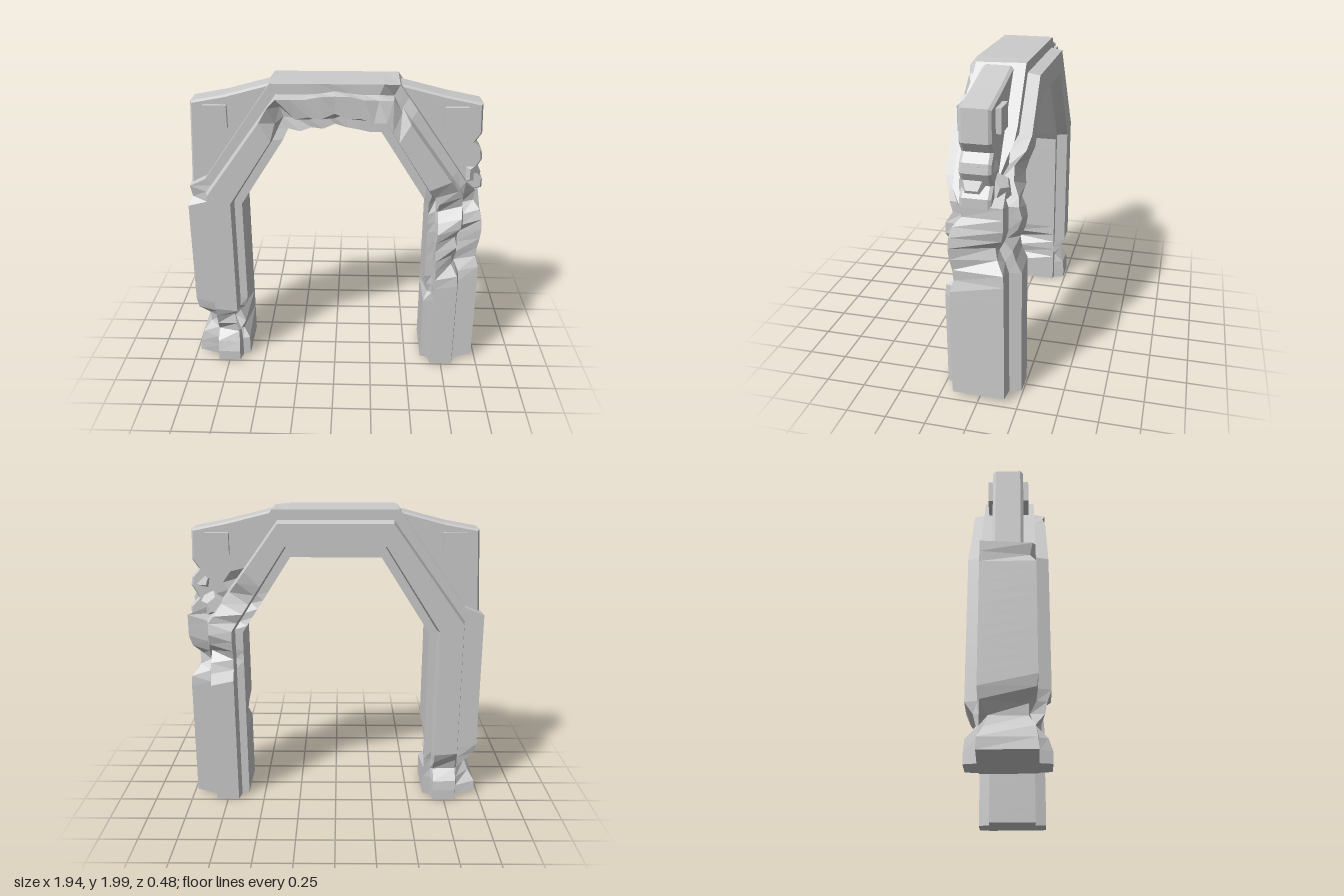
import * as THREE from 'three';

const stone = new THREE.MeshStandardMaterial({ color: 0xcccccc, flatShading: true });
const BODY = 0.165, RIB = 0.24;

// Chipped spots: centre, radius, push direction
const CHIPS = [
  // broken left foot
  [[-0.75, 0.26, 0.24], 0.16, [0, 0, -0.1]],
  [[-0.75, 0.24, -0.24], 0.13, [0, 0, 0.1]],
  [[-0.97, 0.27, 0.17], 0.17, [0.08, 0, -0.05]],
  [[-0.97, 0.24, -0.17], 0.13, [0.06, 0, 0.05]],
  [[-0.62, 0.3, 0.17], 0.14, [-0.06, 0, -0.05]],
  // cracked right shoulder, front and back
  [[0.74, 1.2, 0.24], 0.17, [0, 0, -0.09]],
  [[0.7, 1.42, -0.24], 0.22, [0, 0, 0.08]],
  [[0.78, 1.02, -0.24], 0.15, [0, 0, 0.11]],
  [[0.97, 1.02, -0.17], 0.14, [-0.07, 0, 0.06]],
  [[0.97, 1.25, 0.17], 0.15, [-0.06, -0.03, -0.07]],
  [[0.84, 0.88, 0.24], 0.2, [-0.05, 0, -0.06]],
  // small nicks
  [[-0.97, 1.3, 0.17], 0.1, [0.04, -0.02, -0.05]],
  [[0.61, 0.56, 0.17], 0.07, [0.03, 0, -0.03]],
  [[0.38, 1.92, 0.24], 0.13, [0, -0.03, -0.1]],
  [[-0.32, 1.78, 0.24], 0.13, [-0.02, 0.06, -0.08]],
  [[0, 1.77, 0.24], 0.24, [0, 0.05, -0.01]],
];

function chip(p) {
  const start = p.clone();
  for (const [c, r, push] of CHIPS) {
    const d = start.distanceTo(new THREE.Vector3(...c)) / r;
    if (d >= 1) continue;
    const rough = 0.8 + 0.4 * Math.sin(start.y * 61 + start.x * 37 + start.z * 23);
    p.addScaledVector(new THREE.Vector3(...push), Math.min(1, 1.6 * (1 - d)) * rough);
  }
  return p;
}

// Four edges across the arch at each corner: inner face, rib inside, rib outside, outer face
const HALF = [
  [[0.61, 0.02], [0.66, 0.01], [0.84, 0.01], [0.97, 0.045]],
  [[0.61, 1.2], [0.66, 1.22], [0.84, 1.28], [0.965, 1.32]],
  [[0.58, 1.246], [0.63, 1.267], [0.807, 1.325], [0.84, 1.37]],
  [[0.29, 1.7], [0.315, 1.765], [0.365, 1.935], [0.4, 2.0]],
];
const STEPS = [18, 1, 8, 8, 8, 1, 18];

function stations() {
  const mirrored = HALF.map(k => k.map(([x, y]) => [-x, y])).reverse();
  const keys = [...HALF, ...mirrored];
  const out = [];
  keys.forEach((k, i) => {
    const n = STEPS[i] ?? 1;
    for (let s = 0; s < n; s++) {
      const next = keys[i + 1] ?? k;
      out.push(k.map(([x, y], e) => new THREE.Vector2(x, y).lerp(new THREE.Vector2(...next[e]), s / n)));
    }
  });
  return out;
}

// Cross-shaped section with slightly sloped rib flanks
function section([a, b, c, d]) {
  const b2 = b.clone().lerp(c, 0.08), c2 = c.clone().lerp(b, 0.08);
  return [[a, -BODY], [b, -BODY], [b2, -RIB], [c2, -RIB], [c, -BODY], [d, -BODY],
    [d, BODY], [c, BODY], [c2, RIB], [b2, RIB], [b, BODY], [a, BODY]]
    .map(([p, z]) => chip(new THREE.Vector3(p.x, p.y, z)));
}

function archGeometry() {
  const rings = stations().map(section), n = 12, pos = [], index = [];
  rings.flat().forEach(p => pos.push(p.x, p.y, p.z));
  for (let i = 0; i < rings.length - 1; i++) {
    for (let j = 0; j < n; j++) {
      const a = i * n + j, c = i * n + (j + 1) % n;
      index.push(a, a + n, c, c, a + n, c + n);
    }
  }
  // soles of both feet
  const last = (rings.length - 1) * n;
  for (let j = 0; j < 5; j++) {
    const q = [j, j + 1, 10 - j, 11 - j];
    index.push(q[0], q[1], q[2], q[0], q[2], q[3]);
    const [a, b, c, d] = q.map(v => v + last);
    index.push(a, c, b, a, d, c);
  }
  const g = new THREE.BufferGeometry();
  g.setAttribute('position', new THREE.Float32BufferAttribute(pos, 3));
  g.setIndex(index);
  const flat = g.toNonIndexed();
  flat.computeVertexNormals();
  return flat;
}

function add(group, name, geometry) {
  const mesh = new THREE.Mesh(geometry, stone);
  mesh.name = name;
  group.add(mesh);
  return mesh;
}

// Slab filling the corner above a shoulder
function cornerSlab(points) {
  const shape = new THREE.Shape(points.map(p => new THREE.Vector2(...p)));
  const g = new THREE.ExtrudeGeometry(shape, {
    depth: 0.15, bevelEnabled: true, bevelThickness: 0.018, bevelSize: 0.012, bevelOffset: -0.012, bevelSegments: 1,
  });
  return g.translate(0, 0, -0.075);
}

export function createModel() {
  const model = new THREE.Group();
  model.name = 'stoneArch';
  add(model, 'arch', archGeometry());

  add(model, 'rightCorner', cornerSlab([
    [-0.38, 1.99], [-0.7, 1.905], [-0.915, 1.865], [-0.945, 1.3], [-0.78, 1.3], [-0.36, 1.9]]));
  // worn corner with a broken outer edge
  add(model, 'leftCorner', cornerSlab([
    [0.38, 1.99], [0.36, 1.9], [0.78, 1.28], [0.955, 1.3], [0.955, 1.36], [0.9, 1.42], [0.945, 1.5],
    [0.935, 1.56], [0.89, 1.61], [0.93, 1.67], [0.922, 1.865], [0.7, 1.91]]));

  // rubble wedged against the worn shoulder
  [[0.87, 1.4, 0.02, 0.1], [0.86, 1.52, -0.03, 0.085], [0.8, 1.38, -0.1, 0.09]].forEach(([x, y, z, r], i) => {
    const rock = add(model, 'brokenStone', new THREE.DodecahedronGeometry(r));
    rock.position.set(x, y, z);
    rock.scale.set(0.8, 1, 1);
    rock.rotation.set(i, i * 2, i * 0.7);
  });

  // square plates passing through the corners
  for (const side of [-1, 1]) {
    const plate = add(model, 'cornerPlate', new THREE.BoxGeometry(0.15, 0.145, 0.25));
    plate.position.set(side * 0.758, 1.775, 0);
  }
  return model;
}
